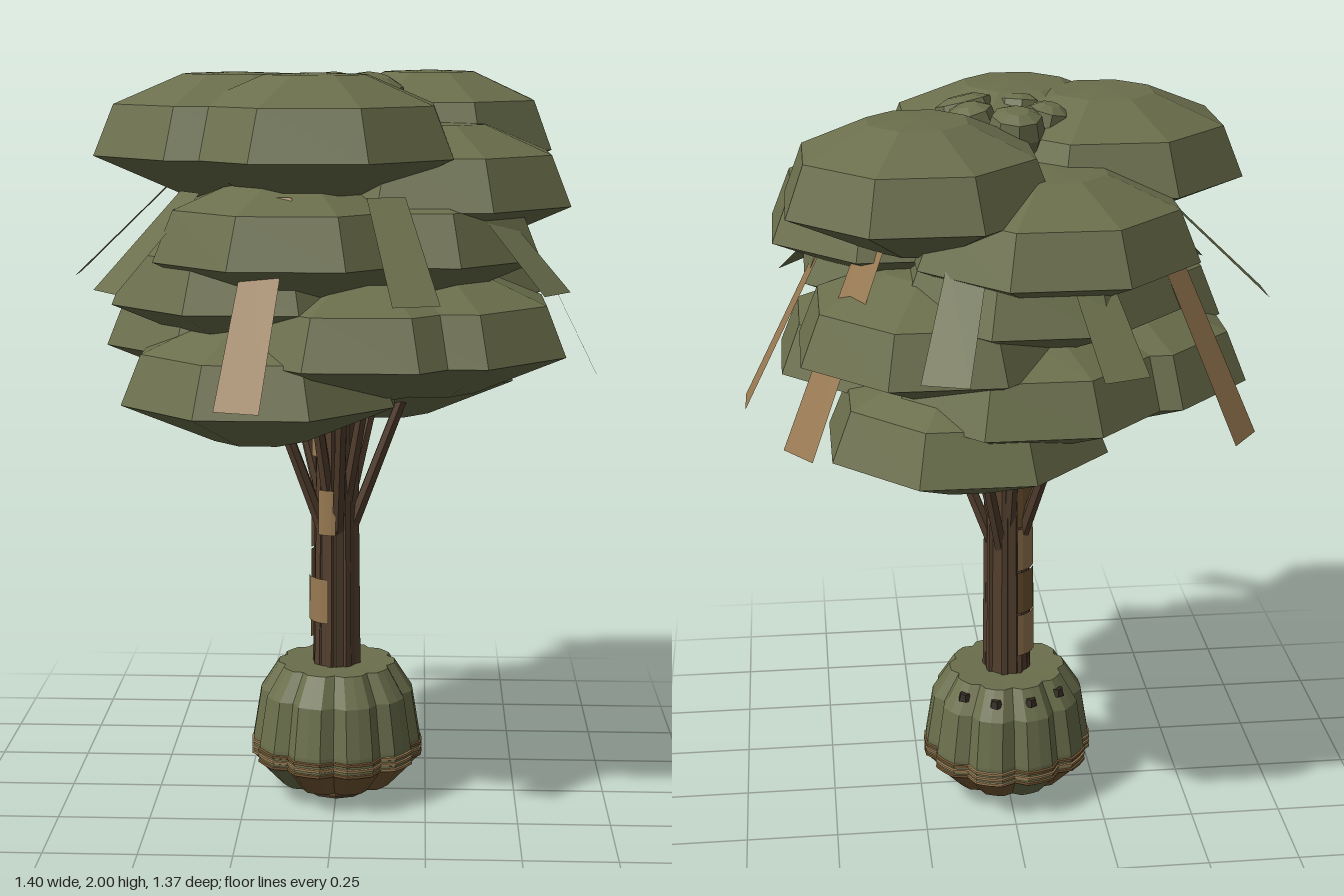
import * as THREE from 'three';

const mat = (name, color, side = THREE.FrontSide) => {
  const m = new THREE.MeshStandardMaterial({ color, side });
  m.name = name;
  return m;
};

export function createModel() {
  const root = new THREE.Group();
  root.name = 'tree';
  const leaf = mat('leaf olive', 0x6b6f4c, THREE.DoubleSide);
  const tan = mat('dry tan', 0x987a52, THREE.DoubleSide);
  const bark = mat('bark brown', 0x54402f);
  const husk = mat('husk brown', 0x735733, THREE.DoubleSide);
  const dark = mat('knot dark', 0x2f2820);

  // Adds a mesh with faceted normals
  const add = (name, geo, material, parent = root) => {
    const flat = geo.index ? geo.toNonIndexed() : geo;
    flat.computeVertexNormals();
    const m = new THREE.Mesh(flat, material);
    m.name = name;
    parent.add(m);
    return m;
  };
  const pts = (list) => list.map(([r, y]) => new THREE.Vector2(r, y));
  const UP = new THREE.Vector3(0, 1, 0);
  const rod = (name, a, b, r0, r1, sides, material) => {
    const d = b.clone().sub(a);
    const m = add(name, new THREE.CylinderGeometry(r1, r0, d.length(), sides), material);
    m.position.copy(a).addScaledVector(d, 0.5);
    m.quaternion.setFromUnitVectors(UP, d.normalize());
    return m;
  };
  const polar = (r, t, y) => new THREE.Vector3(r * Math.cos(t), y, r * Math.sin(t));

  // Leaf pads: flattened octagons, [x, height of widest ring, z, width factor]
  const padProfile = pts([[0, -0.11], [0.13, -0.11], [0.38, 0], [0.325, 0.13], [0.14, 0.205], [0, 0.21]]);
  const pads = [
    [-0.19, 1.16, 0.2], [0.13, 1.16, -0.22],
    [0.25, 1.28, 0.13], [-0.26, 1.28, -0.05], [-0.03, 1.28, -0.22], [0.08, 1.28, 0.2],
    [0.2, 1.41, -0.2], [-0.22, 1.41, 0.12],
    [-0.1, 1.53, 0.22], [0.18, 1.53, 0.12], [-0.05, 1.53, -0.2],
    [0.26, 1.66, 0.05], [-0.09, 1.66, -0.235],
    [-0.262, 1.79, 0.1], [0.245, 1.79, -0.22, 0.94], [-0.045, 1.79, 0.23],
  ];
  const canopy = new THREE.Group();
  canopy.name = 'canopy';
  root.add(canopy);
  for (const [x, y, z, w = 1] of pads) {
    const pad = add('leafPad', new THREE.LatheGeometry(padProfile, 8, Math.PI / 8), leaf, canopy);
    pad.position.set(x, y, z);
    pad.scale.set(w, 1, w);
  }

  // Small tufts in the middle of the crown
  const tufts = [[-0.015, -0.11, 1.1], [-0.11, -0.04, 0.9], [0.105, -0.025, 1.05], [-0.045, 0.1, 1], [0.11, 0.09, 1.25]];
  for (const [x, z, w] of tufts) {
    const tuft = add('crownTuft', new THREE.LatheGeometry(
      pts([[0, -0.26], [0.03, -0.24], [0.068, -0.06], [0.058, -0.015], [0.028, 0], [0, 0]]), 8), leaf, canopy);
    tuft.position.set(x, 1.99, z);
    tuft.scale.set(w, 1, w);
    tuft.quaternion.setFromUnitVectors(UP, new THREE.Vector3(x * 2, 1, z * 2).normalize());
  }

  // Ten drooping fronds; every third one is dry and hangs lower
  for (let i = 0; i < 10; i++) {
    const dry = i % 3 === 0;
    const [r0, y0, r1, y1] = dry ? [0.45, 1.7, 0.7, 1.2] : [0.45, 1.7, 0.7, 1.46];
    const g = new THREE.PlaneGeometry(1, 1);
    const p = g.attributes.position;
    for (let k = 0; k < p.count; k++) {
      const top = p.getY(k) > 0;
      p.setXYZ(k, top ? r0 : r1, top ? y0 : y1, p.getX(k) * (top ? 0.1 : 0.12));
    }
    add(dry ? 'dryFrond' : 'greenFrond', g, dry ? tan : leaf, canopy).rotation.y = -i * Math.PI / 5;
  }

  // Trunk with raised bark ribs
  rod('trunk', new THREE.Vector3(0, 0.02, 0), new THREE.Vector3(0, 1.6, 0), 0.068, 0.05, 9, bark);
  for (let i = 0; i < 8; i++) {
    const t = (i + 0.3) * Math.PI / 4;
    rod('barkRib', polar(0.055, t, 0.3), polar(0.046, t, 1.3), 0.015, 0.012, 5, bark);
  }

  // Peeling bark plates curled around the trunk: [height, angle, arc, material]
  const plates = [
    [0.565, -52, 72, tan], [0.815, -20, 40, tan], [1.03, -45, 45, tan],
    [0.5, -135, 55, tan], [0.63, -135, 55, husk], [0.76, -135, 55, tan], [0.89, -135, 55, husk], [1.02, -135, 55, tan],
  ];
  for (const [y, angle, arc, material] of plates) {
    const r = 0.083 - y * 0.011;
    const rad = Math.PI / 180;
    add('barkPlate', new THREE.CylinderGeometry(r - 0.001, r, 0.125, 4, 1, true, (angle - arc / 2) * rad, arc * rad), material)
      .position.y = y;
  }

  // Branches fanning into the canopy
  for (let i = 0; i < 10; i++) {
    const t = i * Math.PI / 5 + 0.2;
    const outer = i % 2 === 0;
    rod('branch', polar(0.03, t, outer ? 0.73 : 0.8), polar(outer ? 0.24 : 0.15, t, 1.28), 0.019, 0.015, 6, bark);
  }

  // Swollen lobed base: each lobe is a lathe slice with pinched edges
  const LOBES = 10;
  const lobe = (name, profile, i, material, parent) => {
    const step = Math.PI * 2 / LOBES;
    const g = new THREE.LatheGeometry(pts(profile), 4, i * step, step);
    const p = g.attributes.position;
    for (let k = 0; k < p.count; k++) {
      const column = Math.floor(k / profile.length);
      const s = column === 0 || column === 4 ? 0.91 : 1;
      p.setX(k, p.getX(k) * s);
      p.setZ(k, p.getZ(k) * s);
    }
    add(name, g, material, parent);
  };
  const base = new THREE.Group();
  base.name = 'swollenBase';
  root.add(base);
  for (let i = 0; i < LOBES; i++) {
    lobe('upperLobe', [[0.235, 0.115], [0.234, 0.165], [0.212, 0.3], [0.162, 0.378], [0.03, 0.375]], i, leaf, base);
    lobe('lowerLobe', [[0.03, 0.045], [0.165, 0.04], [0.235, 0.115]], i, i % 3 === 2 ? leaf : husk, base);
    [0.112, 0.128, 0.144].forEach((y, band) => {
      lobe('bandRing', [[0.234, y], [0.239, y + 0.002], [0.239, y + 0.009], [0.234, y + 0.011]], i,
        band === 1 || i % 3 === 1 ? tan : husk, base);
    });
  }

  // Foot and stubby roots
  rod('foot', new THREE.Vector3(0, 0, 0), new THREE.Vector3(0, 0.06, 0), 0.085, 0.11, 10, bark);
  for (let i = 0; i < 8; i++) {
    const t = i * Math.PI / 4;
    rod('rootStub', polar(0.08, t, 0.012), polar(0.09, t, 0.06), 0.016, 0.022, 5, husk);
  }

  // Dark knots on the shoulder of the base
  for (const t of [-0.75, -1.3, -1.85, -2.4]) {
    add('knot', new THREE.CylinderGeometry(0.014, 0.02, 0.02, 6), dark, base).position.copy(polar(0.178, t, 0.345));
  }
  return root;
}
